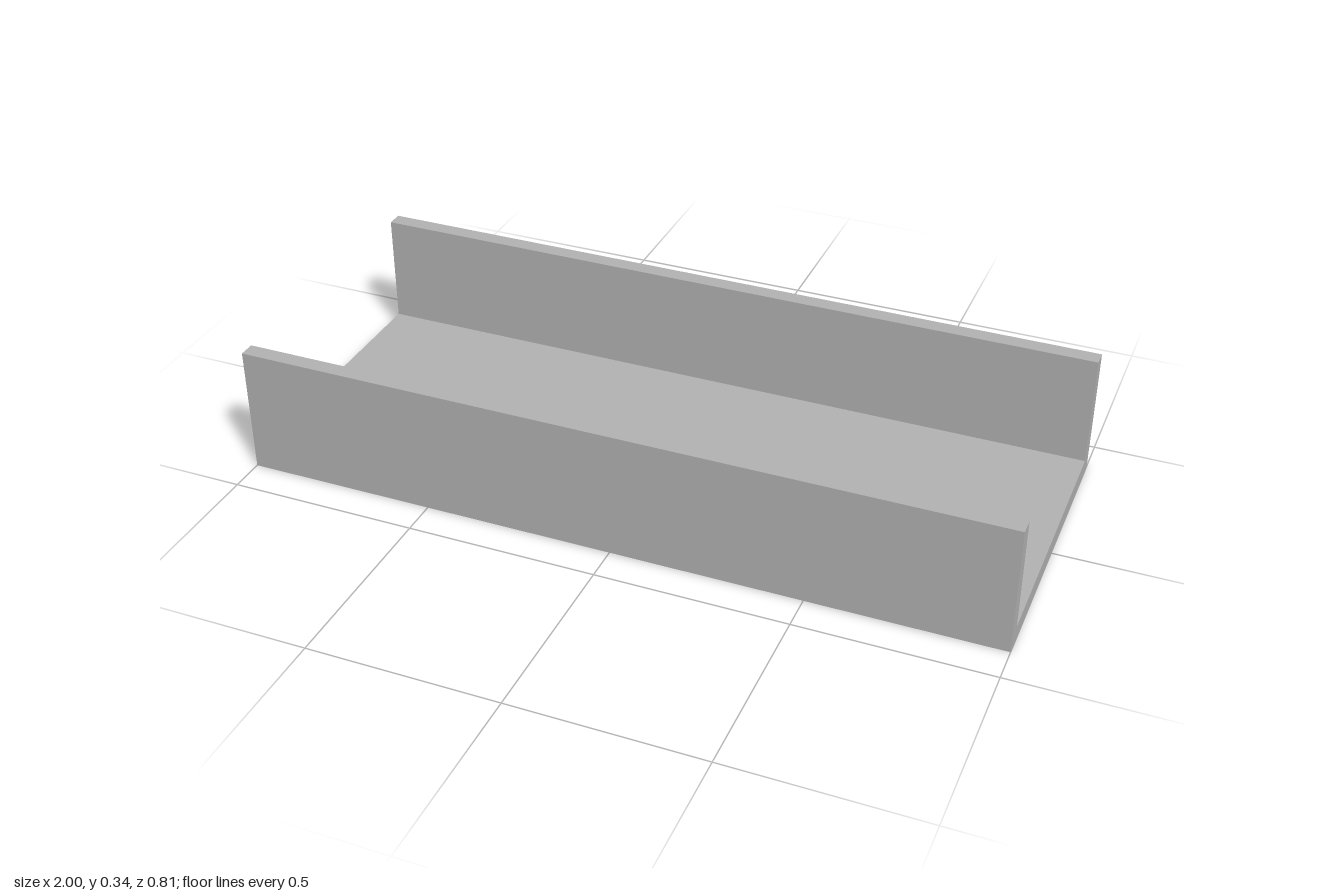
import * as THREE from 'three';

const LENGTH = 2, HALF_W = 0.405, HEIGHT = 0.34, WALL = 0.043;
const HOLE_R = 0.022, HOLE_DEPTH = 0.03, HOLE_X = 0.88, HOLE_Z = 0.184;

// U-shaped channel, without its underside (which carries the screw holes)
function channelGeometry() {
  const w = HALF_W, i = HALF_W - WALL;
  const profile = new THREE.Shape([
    [-w, 0], [w, 0], [w, HEIGHT], [i, HEIGHT], [i, WALL], [-i, WALL], [-i, HEIGHT], [-w, HEIGHT],
  ].map(([x, y]) => new THREE.Vector2(x, y)));
  const solid = new THREE.ExtrudeGeometry(profile, { depth: LENGTH, bevelEnabled: false });
  solid.translate(0, 0, -LENGTH / 2).rotateY(Math.PI / 2);
  const p = solid.attributes.position, kept = [];
  for (let t = 0; t < p.count; t += 3) {
    if (Math.max(p.getY(t), p.getY(t + 1), p.getY(t + 2)) < 1e-6) continue;
    for (let k = t; k < t + 3; k++) kept.push(p.getX(k), p.getY(k), p.getZ(k));
  }
  const g = new THREE.BufferGeometry();
  g.setAttribute('position', new THREE.Float32BufferAttribute(kept, 3));
  g.computeVertexNormals();
  return g;
}

export function createModel() {
  const model = new THREE.Group();
  model.name = 'channelTray';
  const grey = new THREE.MeshStandardMaterial({ color: 0xb2b2b2, side: THREE.DoubleSide });
  grey.name = 'grey';
  const add = (name, geometry) => {
    const mesh = new THREE.Mesh(geometry, grey);
    mesh.name = name;
    model.add(mesh);
    return mesh;
  };

  add('channel', channelGeometry());

  // underside with four blind holes
  const h = LENGTH / 2, w = HALF_W;
  const base = new THREE.Shape();
  base.moveTo(-h, -w).lineTo(h, -w).lineTo(h, w).lineTo(-h, w).closePath();
  for (const x of [-HOLE_X, HOLE_X]) {
    for (const z of [-HOLE_Z, HOLE_Z]) {
      base.holes.push(new THREE.Path().absarc(x, z, HOLE_R, 0, Math.PI * 2, true));
      add('holeWall', new THREE.CylinderGeometry(HOLE_R, HOLE_R, HOLE_DEPTH, 32, 1, true))
        .position.set(x, HOLE_DEPTH / 2, z);
      add('holeEnd', new THREE.CircleGeometry(HOLE_R, 32).rotateX(Math.PI / 2))
        .position.set(x, HOLE_DEPTH, z);
    }
  }
  add('underside', new THREE.ShapeGeometry(base, 16).rotateX(Math.PI / 2));

  return model;
}
